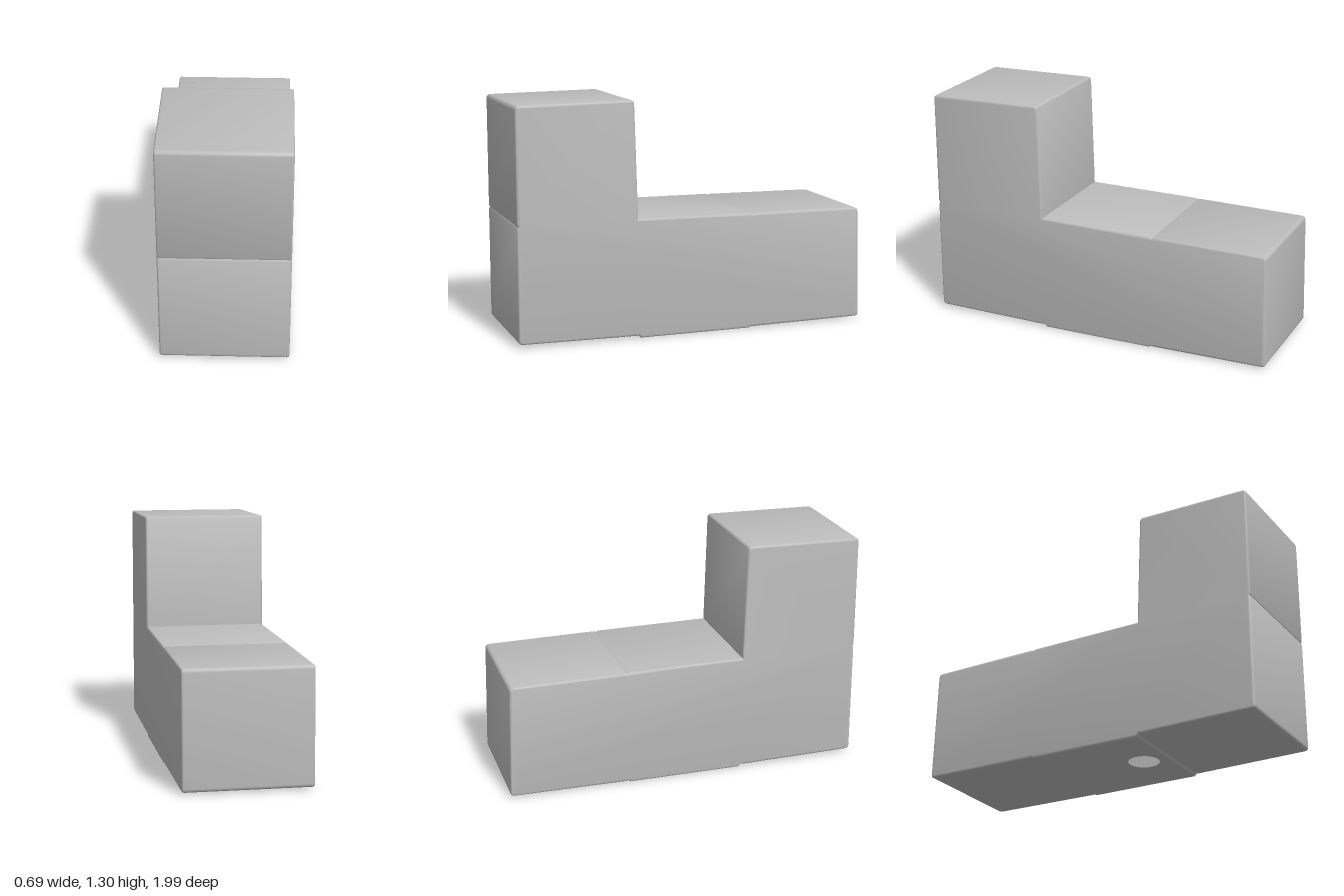
import * as THREE from 'three';
import { toCreasedNormals } from 'three/addons/utils/BufferGeometryUtils.js';

const HALF_WIDTH = 0.345, BEVEL = 0.012, ROUND = 0.022;

// Side outline as [z, y, rounded?]; small dips are the seams between cubes
const OUTLINE = [
  [-0.995, 0.012, 1], [-0.342, 0.006], [-0.33, 0.009], [-0.318, 0],
  [0.318, 0], [0.33, 0.014], [0.342, 0.012], [1, 0.02, 1],
  [1, 0.645], [0.994, 0.657], [1, 0.669], [1, 1.293, 1],
  [0.352, 1.302, 1], [0.332, 0.66], [-0.318, 0.655], [-0.33, 0.649],
  [-0.342, 0.654], [-0.978, 0.646, 1],
];

function outlineShape() {
  const shape = new THREE.Shape();
  const n = OUTLINE.length;
  const at = (i) => new THREE.Vector2(...OUTLINE[(i + n) % n].slice(0, 2));
  const toward = (p, q) => p.clone().add(q.clone().sub(p).setLength(ROUND));
  for (let i = 0; i < n; i++) {
    const p = at(i), rounded = OUTLINE[i][2];
    const a = rounded ? toward(p, at(i - 1)) : p;
    if (i === 0) shape.moveTo(a.x, a.y);
    else shape.lineTo(a.x, a.y);
    if (rounded) {
      const b = toward(p, at(i + 1));
      shape.quadraticCurveTo(p.x, p.y, b.x, b.y);
    }
  }
  shape.closePath();
  return shape;
}

// Hollow L-shaped shell, left open under the middle cube
function shellGeometry() {
  const depth = 2 * (HALF_WIDTH - BEVEL);
  const geo = new THREE.ExtrudeGeometry(outlineShape(), {
    depth, curveSegments: 4, bevelEnabled: true, bevelSegments: 3,
    bevelThickness: BEVEL, bevelSize: BEVEL, bevelOffset: -BEVEL,
  });
  geo.translate(0, 0, -depth / 2);
  geo.rotateY(-Math.PI / 2);

  const pos = geo.attributes.position;
  const kept = [];
  for (let i = 0; i < pos.count; i += 3) {
    const corners = [i, i + 1, i + 2];
    const isMiddleBase = corners.every((k) =>
      pos.getY(k) < 0.004 &&
      Math.abs(pos.getZ(k)) < 0.325 &&
      Math.abs(pos.getX(k)) < HALF_WIDTH - BEVEL + 0.001);
    if (isMiddleBase) continue;
    for (const k of corners) kept.push(pos.getX(k), pos.getY(k), pos.getZ(k));
  }
  const open = new THREE.BufferGeometry();
  open.setAttribute('position', new THREE.Float32BufferAttribute(kept, 3));
  return toCreasedNormals(open, 0.6);
}

// Base panel of the middle cube with its round opening
function basePanelGeometry() {
  const w = HALF_WIDTH - BEVEL, d = 0.318;
  const shape = new THREE.Shape([
    new THREE.Vector2(-w, -d), new THREE.Vector2(w, -d),
    new THREE.Vector2(w, d), new THREE.Vector2(-w, d),
  ]);
  const hole = new THREE.Path();
  hole.absarc(0, 0.18, 0.086, 0, Math.PI * 2, true);
  shape.holes.push(hole);
  const geo = new THREE.ShapeGeometry(shape, 24);
  geo.rotateX(Math.PI / 2);
  return geo;
}

export function createModel() {
  const group = new THREE.Group();
  group.name = 'cubePiece';
  const grey = new THREE.MeshStandardMaterial({ color: 0xbcbcbc, side: THREE.DoubleSide });
  grey.name = 'light grey';

  const add = (name, geometry) => {
    const mesh = new THREE.Mesh(geometry, grey);
    mesh.name = name;
    group.add(mesh);
  };
  add('blockShell', shellGeometry());
  add('basePanel', basePanelGeometry());
  return group;
}
